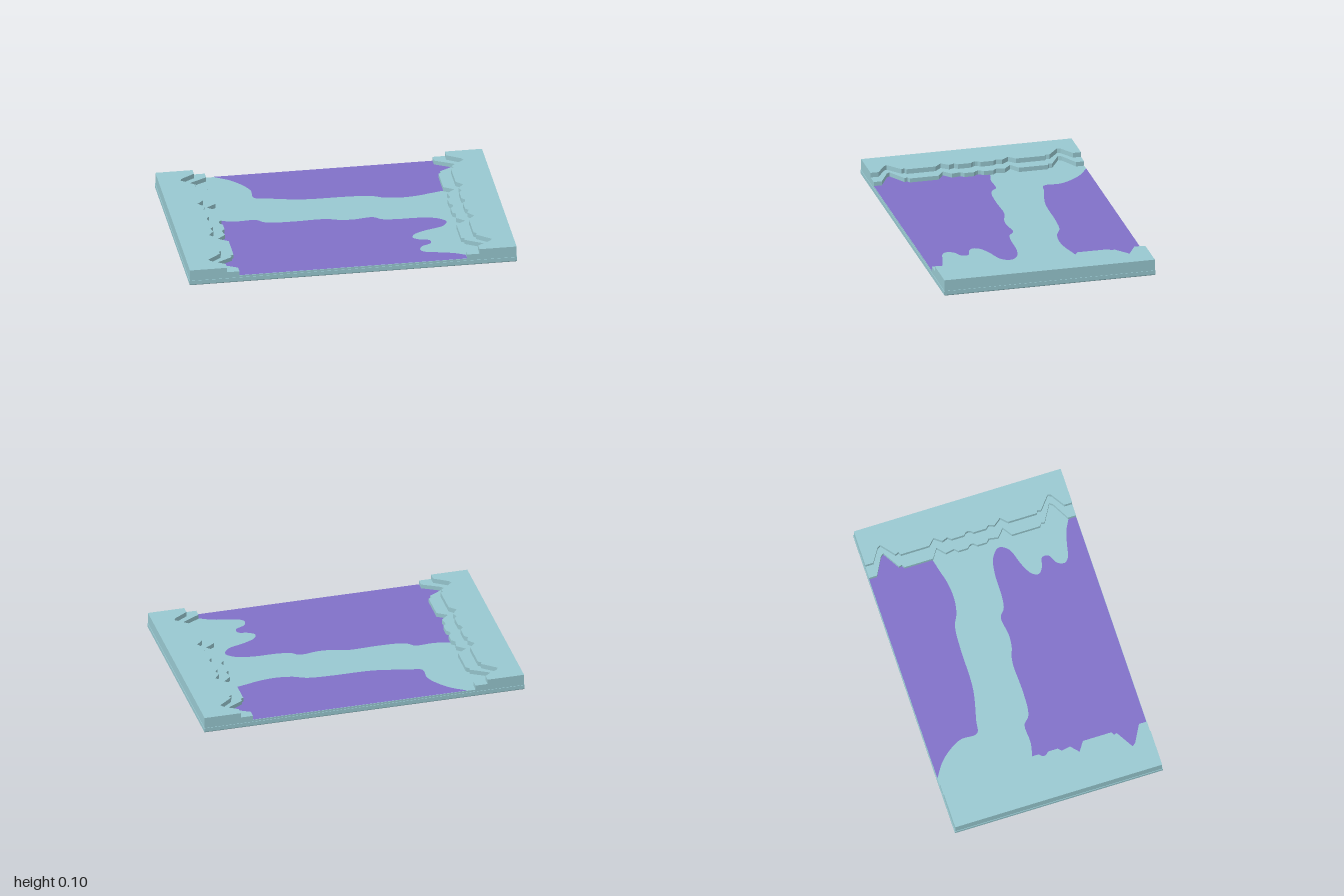
import * as THREE from 'three';

const HALF_DEPTH = 0.655;
const BED_Y = 0.042;

const teal = new THREE.MeshStandardMaterial({ color: 0x98c8d0 });
teal.name = 'paleTeal';
const purple = new THREE.MeshStandardMaterial({ color: 0x8070c8 });
purple.name = 'violet';

// Inner edges of the bank terraces as [z, x], from the back to the middle
const LOWER_EDGE = [
  [-0.655, 0.695], [-0.605, 0.695], [-0.545, 0.805], [-0.525, 0.82], [-0.46, 0.71], [-0.44, 0.715],
  [-0.43, 0.695], [-0.25, 0.695], [-0.21, 0.755], [-0.165, 0.705], [-0.11, 0.715],
  [-0.09, 0.695], [-0.03, 0.695], [-0.015, 0.71], [0, 0.715],
];
const UPPER_EDGE = [
  [-0.655, 0.77], [-0.605, 0.77], [-0.55, 0.855], [-0.53, 0.865], [-0.46, 0.78], [-0.44, 0.788],
  [-0.43, 0.77], [-0.25, 0.77], [-0.21, 0.81], [-0.165, 0.775], [-0.13, 0.788],
  [-0.11, 0.77], [-0.03, 0.77], [-0.015, 0.785], [0, 0.788],
];

// Upright prism over an outline of [x, z] points
function prism(name, outline, y0, y1) {
  const shape = new THREE.Shape(outline.map(([x, z]) => new THREE.Vector2(x, -z)));
  const geo = new THREE.ExtrudeGeometry(shape, { depth: y1 - y0, bevelEnabled: false });
  geo.rotateX(-Math.PI / 2).translate(0, y0, 0);
  const mesh = new THREE.Mesh(geo, teal);
  mesh.name = name;
  return mesh;
}

// Terrace whose jagged edge repeats front to back; side is +1 or -1
function terrace(name, edge, side, y0, y1) {
  const mirrored = edge.slice(0, -1).reverse().map(([z, x]) => [-z, x]);
  const inner = [...edge, ...mirrored].map(([z, x]) => [side * x, z]);
  return prism(name, [[side * 0.997, -HALF_DEPTH], ...inner, [side * 0.997, HALF_DEPTH]], y0, y1);
}

// Thin painted area: a smooth shoreline closed by straight corners
function patch(name, shore, corners) {
  const curve = new THREE.CatmullRomCurve3(
    shore.map(([x, z]) => new THREE.Vector3(x, 0, z)), false, 'centripetal');
  const points = curve.getPoints(shore.length * 6).map((p) => new THREE.Vector2(p.x, -p.z));
  corners.forEach(([x, z]) => points.push(new THREE.Vector2(x, -z)));
  const geo = new THREE.ShapeGeometry(new THREE.Shape(points));
  geo.rotateX(-Math.PI / 2).translate(0, BED_Y + 0.002, 0);
  const mesh = new THREE.Mesh(geo, purple);
  mesh.name = name;
  return mesh;
}

export function createModel() {
  const group = new THREE.Group();
  group.name = 'terrainTile';

  // Base with a narrow chamfer around its underside
  const base = new THREE.BoxGeometry(2, 0.03, 1.316, 1, 2, 1);
  const pos = base.attributes.position;
  for (let i = 0; i < pos.count; i++) {
    const y = pos.getY(i);
    if (y < -0.01) {
      pos.setX(i, pos.getX(i) * 0.996);
      pos.setZ(i, pos.getZ(i) * 0.994);
    } else if (y < 0.01) pos.setY(i, -0.009);
  }
  const flatBase = base.toNonIndexed();
  flatBase.computeVertexNormals();
  flatBase.translate(0, 0.015, 0);
  const baseMesh = new THREE.Mesh(flatBase, teal);
  baseMesh.name = 'base';
  group.add(baseMesh);

  // Flat bed between the banks
  const h = HALF_DEPTH;
  group.add(prism('bed', [[-0.997, -h], [-0.997, h], [0.997, h], [0.997, -h]], 0.03, BED_Y));

  // Stepped banks on both sides
  for (const [label, side] of [['left', 1], ['right', -1]]) {
    group.add(terrace(label + 'LowerBank', LOWER_EDGE, side, BED_Y, 0.07));
    group.add(terrace(label + 'UpperBank', UPPER_EDGE, side, 0.07, 0.1));
  }

  // Violet areas; their outer ends run underneath the banks
  group.add(patch('backPatch', [
    [-0.645, -0.655], [-0.55, -0.59], [-0.48, -0.505], [-0.45, -0.44], [-0.445, -0.34],
    [-0.36, -0.318], [-0.2, -0.28], [-0.1, -0.27], [0.1, -0.268], [0.25, -0.255], [0.33, -0.22],
    [0.43, -0.205], [0.53, -0.213], [0.62, -0.235], [0.695, -0.253],
  ], [[0.74, -0.3], [0.9, -0.45], [0.9, -0.655]]));

  group.add(patch('frontPatch', [
    [-0.695, -0.07], [-0.6, -0.05], [-0.48, -0.05], [-0.44, -0.015], [-0.39, 0], [-0.25, 0.006],
    [-0.1, 0.002], [-0.04, 0.01], [0.02, 0.03], [0.1, 0.037], [0.22, 0.025], [0.27, 0.06],
    [0.35, 0.073], [0.5, 0.077], [0.6, 0.1], [0.65, 0.15], [0.62, 0.205], [0.5, 0.25],
    [0.43, 0.29], [0.415, 0.33], [0.45, 0.36], [0.51, 0.38], [0.51, 0.42], [0.45, 0.455],
    [0.435, 0.5], [0.46, 0.527], [0.55, 0.55], [0.63, 0.573], [0.695, 0.607],
  ], [[0.74, 0.63], [0.74, 0.655], [-0.9, 0.655], [-0.9, -0.07]]));

  return group;
}
